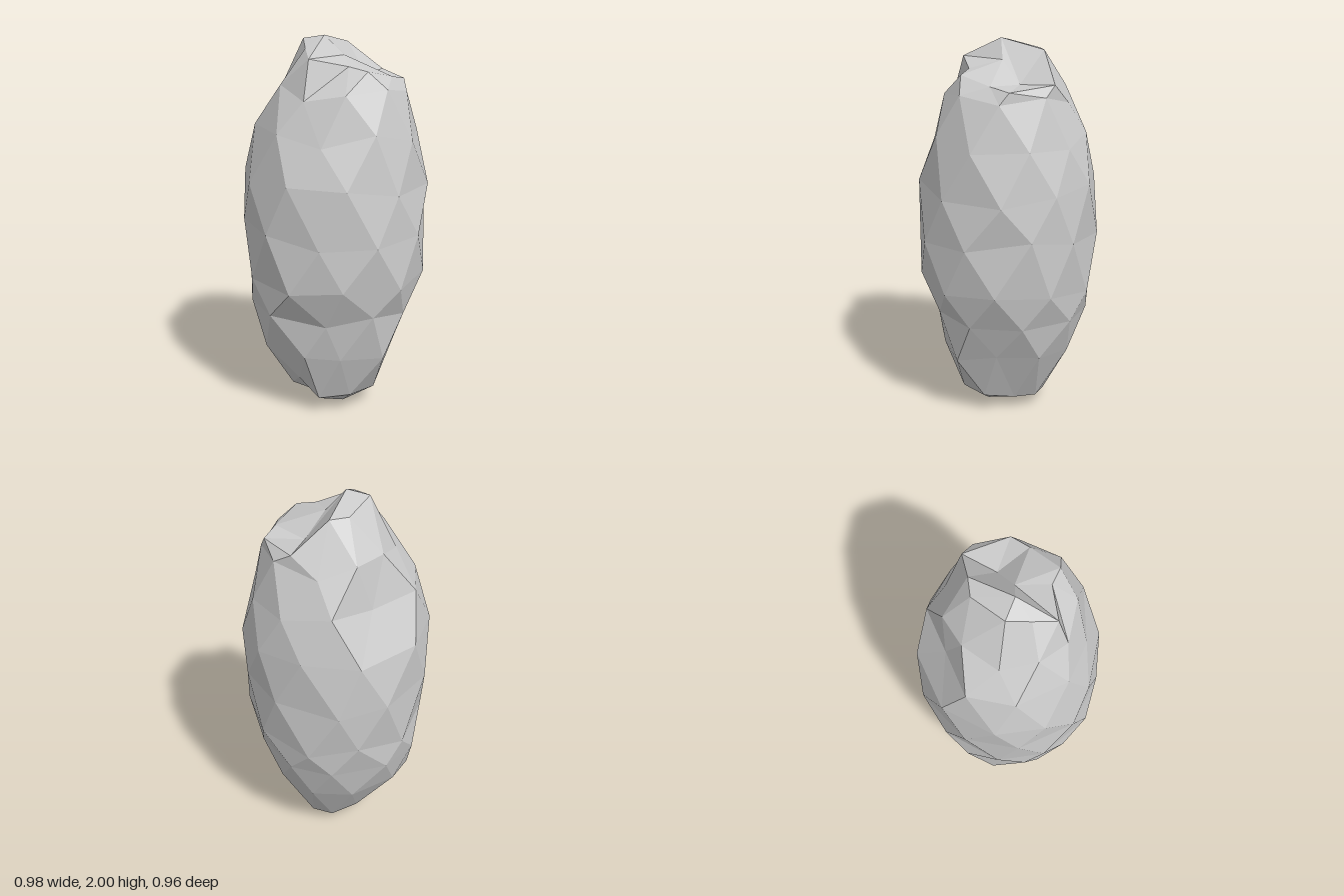
import * as THREE from 'three';

const SIDES = 10;

// Small repeatable wobble in -1..1
const wobble = (a, b) => {
  const s = Math.sin(a * 12.9898 + b * 78.233) * 43758.5453;
  return (s - Math.floor(s)) * 2 - 1;
};

// Foot of the rock: chipped lower rim, starting at the front and turning to +x
const foot = [
  [-0.04, 0.09, 0.28], [0.12, 0.10, 0.23], [0.23, 0.10, 0.10], [0.19, 0.08, -0.06], [0.13, 0.07, -0.17],
  [0.02, 0.06, -0.20], [-0.12, 0.10, -0.16], [-0.19, 0.10, -0.07], [-0.23, 0.07, 0.07], [-0.15, 0.20, 0.27],
];

// Body cross-sections: height, then radii from the front round; every other ring is staggered
const body = [
  [0.35, 0.35, 0.38, 0.33, 0.36, 0.36, 0.36, 0.38, 0.41, 0.41, 0.38],
  [0.56, 0.39, 0.42, 0.42, 0.42, 0.43, 0.43, 0.44, 0.45, 0.46, 0.46],
  [0.73, 0.47, 0.48, 0.48, 0.47, 0.46, 0.46, 0.46, 0.47, 0.48, 0.49],
  [1.02, 0.48, 0.49, 0.49, 0.49, 0.48, 0.48, 0.49, 0.49, 0.49, 0.49],
  [1.26, 0.47, 0.47, 0.49, 0.48, 0.47, 0.47, 0.48, 0.49, 0.48, 0.47],
  [1.52, 0.39, 0.42, 0.44, 0.44, 0.43, 0.41, 0.33, 0.42, 0.42, 0.41],
  [1.73, 0.33, 0.36, 0.37, 0.37, 0.33, 0.31, 0.29, 0.30, 0.31, 0.32],
];

// Crown: broken upper rim, low on the +x side and high on the other
const crown = [
  [0.10, 1.86, 0.185], [0.20, 1.84, 0.21], [0.30, 1.80, 0.05], [0.35, 1.78, -0.05], [0.21, 1.80, -0.26],
  [0.03, 1.95, -0.19], [-0.065, 1.95, -0.16], [-0.165, 1.98, 0.015], [-0.13, 1.94, 0.13], [-0.09, 1.90, 0.245],
];
const peak = [-0.05, 2, 0.04];
const shelfFront = [0.05, 1.90, 0.02];
const shelfBack = [0.15, 1.79, -0.08];

export function createModel() {
  const rings = [foot];
  body.forEach(([y, ...radii], i) => {
    const shift = i % 2 === 0 ? 0.5 : 0;
    rings.push(radii.map((r, k) => {
      const a = ((k + shift + 0.1 * wobble(i, k)) / SIDES) * Math.PI * 2;
      return [r * Math.sin(a), y + 0.04 * wobble(k + 3, i + 1), r * Math.cos(a)];
    }));
  });
  rings.push(crown);

  const points = [];
  const tri = (...corners) => corners.forEach((c) => points.push(...c));
  const fan = (centre, path) => {
    for (let k = 0; k < path.length - 1; k++) tri(centre, path[k], path[k + 1]);
  };

  // Facets between neighbouring rings
  for (let i = 0; i < rings.length - 1; i++) {
    const low = rings[i], up = rings[i + 1];
    for (let k = 0; k < SIDES; k++) {
      const n = (k + 1) % SIDES;
      if (i % 2 === 0) {
        tri(low[k], low[n], up[k]);
        tri(up[k], low[n], up[n]);
      } else {
        tri(low[k], low[n], up[n]);
        tri(up[k], low[k], up[n]);
      }
    }
  }

  // Underside
  fan([0.06, 0, 0.10], [...foot, foot[0]].reverse());

  // Sunken shelf, then the peak rising behind it
  fan(shelfFront, [crown[9], crown[0], crown[1], crown[2], shelfBack]);
  fan(shelfBack, crown.slice(2, 6));
  fan(peak, [crown[9], shelfFront, shelfBack, ...crown.slice(5)]);

  const geometry = new THREE.BufferGeometry();
  geometry.setAttribute('position', new THREE.Float32BufferAttribute(points, 3));
  geometry.computeVertexNormals();

  const rock = new THREE.Mesh(geometry, new THREE.MeshStandardMaterial({ color: 0xcccccc, flatShading: true }));
  rock.name = 'rock';
  const group = new THREE.Group();
  group.name = 'tallRock';
  group.add(rock);
  return group;
}
